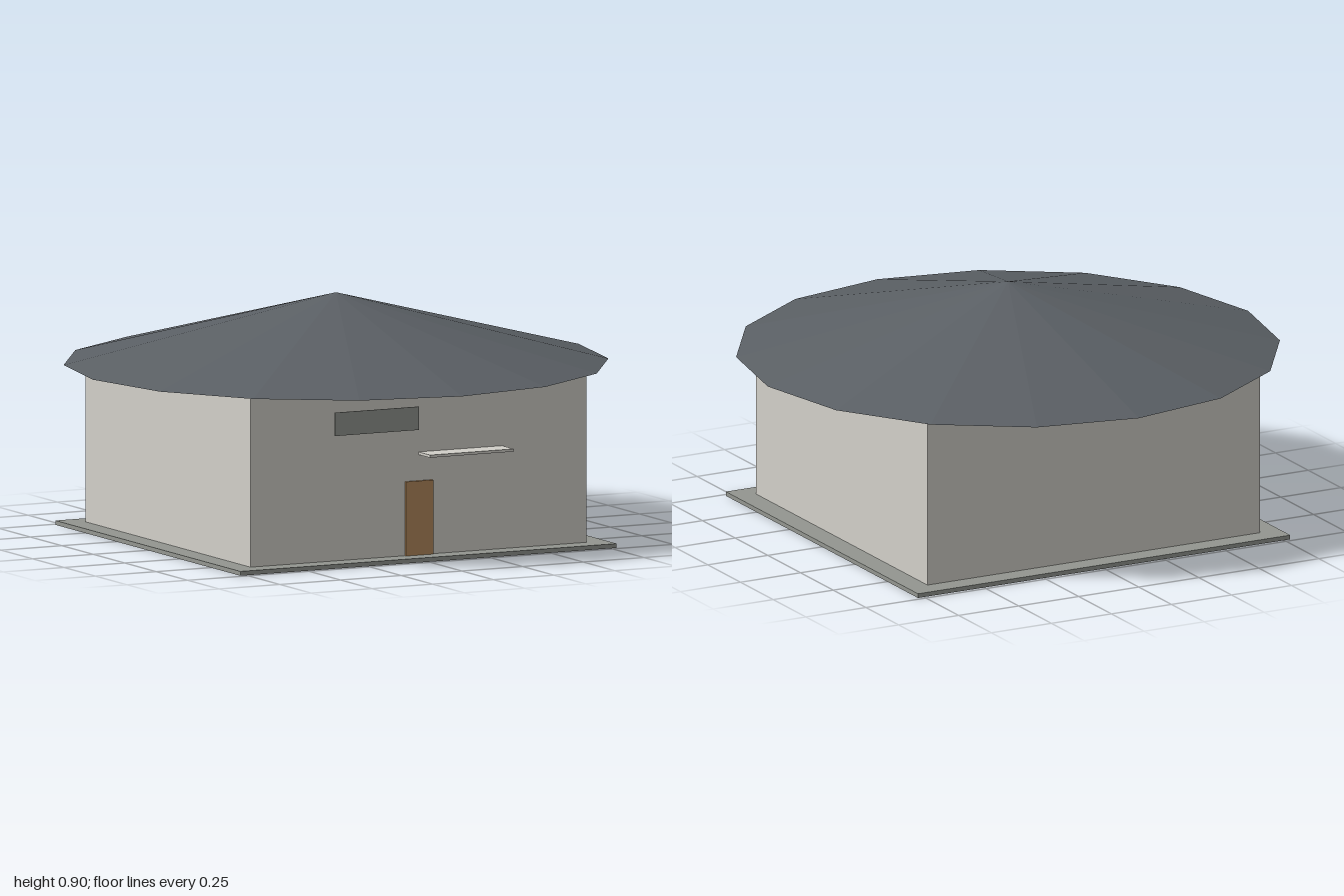
import * as THREE from 'three';

export function createModel() {
  const model = new THREE.Group();
  const material = (name, color) => {
    const m = new THREE.MeshStandardMaterial({ color });
    m.name = name;
    return m;
  };
  const plaster = material('plaster', 0xd2d0c9);
  const stone = material('stone', 0x939690);
  const wood = material('wood', 0xb58a5c);
  const slate = material('slate', 0x5a5f64);
  slate.flatShading = true;

  // Box given by its minimum and maximum corners
  const box = (name, mat, [x0, y0, z0], [x1, y1, z1]) => {
    const mesh = new THREE.Mesh(new THREE.BoxGeometry(x1 - x0, y1 - y0, z1 - z0), mat);
    mesh.position.set((x0 + x1) / 2, (y0 + y1) / 2, (z0 + z1) / 2);
    mesh.name = name;
    model.add(mesh);
  };

  // Base slab and walls
  box('baseSlab', stone, [-0.775, 0, -0.735], [0.775, 0.016, 0.735]);
  box('walls', plaster, [-0.692, 0.016, -0.655], [0.692, 0.645, 0.655]);

  // Front details: door, canopy and the sign board standing off the wall
  box('door', wood, [-0.056, 0.016, 0.655], [0.056, 0.29, 0.665]);
  box('canopy', plaster, [0, 0.386, 0.655], [0.345, 0.396, 0.747]);
  box('frontBoard', stone, [-0.39, 0.492, 0.742], [-0.045, 0.578, 0.747]);

  // Sixteen-sided conical roof
  const roof = new THREE.Mesh(new THREE.ConeGeometry(1, 0.257, 16), slate);
  roof.position.y = 0.645 + 0.257 / 2;
  roof.name = 'roof';
  model.add(roof);

  return model;
}
